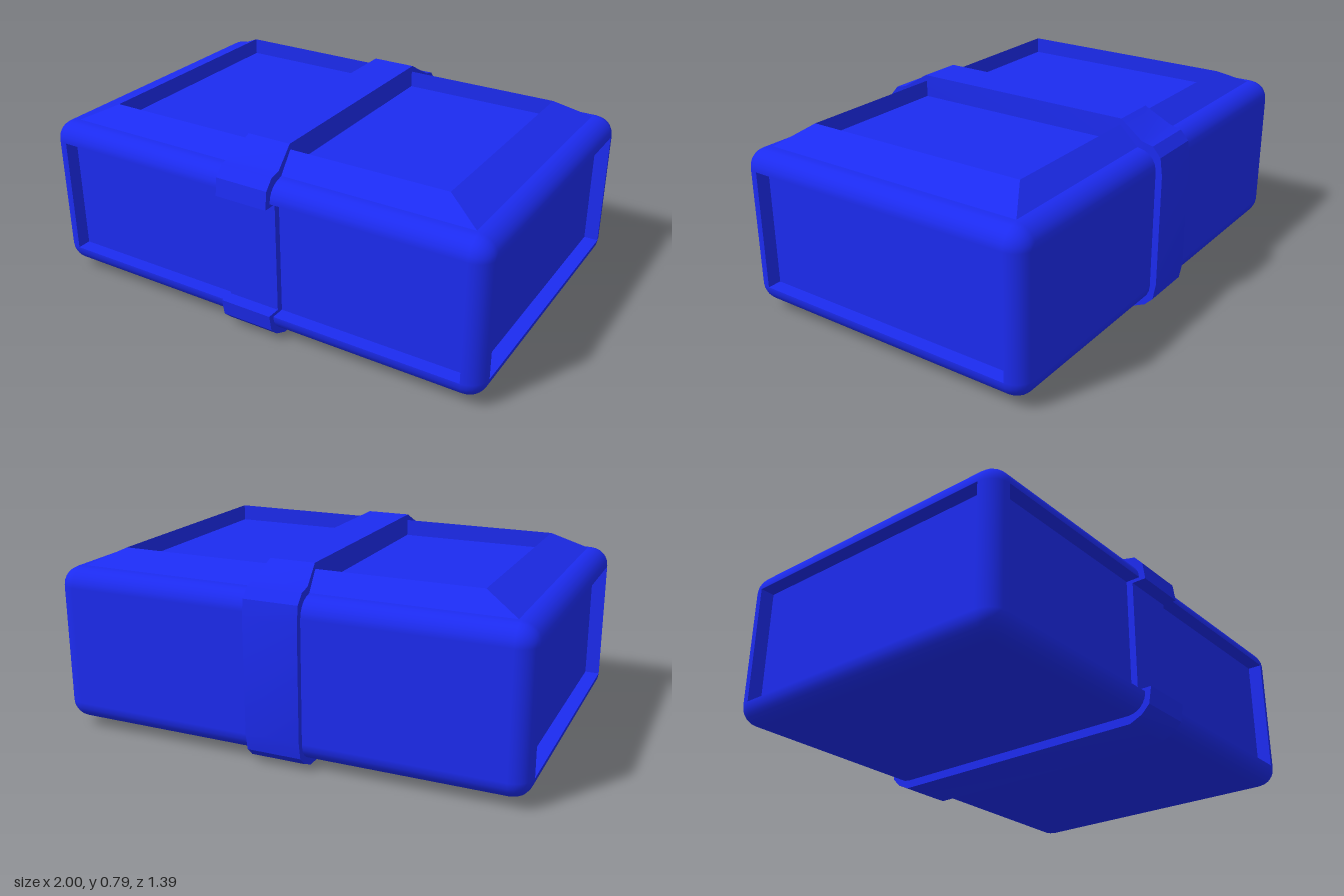
import * as THREE from 'three';
import { toCreasedNormals } from 'three/addons/utils/BufferGeometryUtils.js';
import { RoundedBoxGeometry } from 'three/addons/geometries/RoundedBoxGeometry.js';

const R = 0.08, W = 2, H = 0.66, D = 1.33, MID = 0.365, DEPTH = 0.06;

// Skin a run of equal-sized cross-sections, either closed into a loop or capped at both ends
function loft(rings, closed) {
  const n = rings[0].length, m = rings.length, index = [];
  for (let i = 0; i < (closed ? m : m - 1); i++) {
    const p = i * n, q = ((i + 1) % m) * n;
    for (let k = 0; k < n; k++) {
      const l = (k + 1) % n;
      index.push(p + k, p + l, q + l, p + k, q + l, q + k);
    }
  }
  if (!closed) {
    const e = (m - 1) * n;
    for (let k = 1; k < n - 1; k++) index.push(0, k + 1, k, e, e + k, e + k + 1);
  }
  const geo = new THREE.BufferGeometry();
  geo.setAttribute('position', new THREE.Float32BufferAttribute(rings.flat(2), 3));
  geo.setIndex(index);
  return toCreasedNormals(geo, 0.55);
}

// Rounded shell with the flat middles of the front and both ends left open
function shellGeometry() {
  const src = new RoundedBoxGeometry(W, H, D, 3, R);
  const p = src.attributes.position, nr = src.attributes.normal;
  const pos = [], nor = [];
  for (let i = 0; i < p.count; i += 3) {
    const ids = [i, i + 1, i + 2];
    const open = ids.every((j) => Math.abs(nr.getX(j)) > 0.999) || ids.every((j) => nr.getZ(j) > 0.999);
    if (open) continue;
    for (const j of ids) {
      pos.push(p.getX(j), p.getY(j), p.getZ(j));
      nor.push(nr.getX(j), nr.getY(j), nr.getZ(j));
    }
  }
  const geo = new THREE.BufferGeometry();
  geo.setAttribute('position', new THREE.Float32BufferAttribute(pos, 3));
  geo.setAttribute('normal', new THREE.Float32BufferAttribute(nor, 3));
  return geo;
}

// Inward-facing tray, open towards +z, with its rim at z = 0
function trayGeometry(w, h) {
  const geo = new THREE.BoxGeometry(w, h, DEPTH).translate(0, 0, -DEPTH / 2);
  geo.setIndex([...geo.index.array].filter((_, i) => i < 24 || i >= 30).reverse());
  geo.computeVertexNormals();
  return geo;
}

export function createModel() {
  const model = new THREE.Group();
  const material = new THREE.MeshStandardMaterial({ color: 0x1c2bf0 });
  const add = (name, geo, x = 0, y = 0, z = 0) => {
    const mesh = new THREE.Mesh(geo, material);
    mesh.name = name;
    mesh.position.set(x, y, z);
    model.add(mesh);
    return mesh;
  };

  // Body with sunken panels on the front and both ends
  add('body', shellGeometry(), 0, MID, 0);
  add('frontPanel', trayGeometry(W - 2 * R, H - 2 * R), 0, MID, D / 2);
  for (const [name, s] of [['leftPanel', 1], ['rightPanel', -1]]) {
    add(name, trayGeometry(D - 2 * R, H - 2 * R), s * W / 2, MID, 0).rotation.y = s * Math.PI / 2;
  }

  // Raised bevelled rim around the top panel
  const corners = [[1, 1], [1, -1], [-1, -1], [-1, 1]];
  add('topRim', loft(corners.map(([sx, sz]) => [
    [sx * 0.765, 0.765, sz * 0.49],
    [sx * 0.92, 0.69, sz * 0.585],
    [sx * 0.765, 0.69, sz * 0.49],
  ]), true));

  // Strap wrapped round the body, open at the front: z, y, half width
  const upper = [[0.693, 0.6, 0.115], [0.683, 0.674, 0.115], [0.648, 0.714, 0.115],
    [0.6, 0.725, 0.115], [0.495, 0.79, 0.095]];
  const lower = [[0.692, 0.13, 0.115], [0.68, 0.06, 0.115], [0.645, 0.025, 0.115], [0.59, 0, 0.115]];
  const mirror = (pts) => pts.map(([z, y, w]) => [-z, y, w]);
  const path = [...upper, ...mirror(upper).reverse(), ...mirror(lower), ...[...lower].reverse()];
  const clamp = THREE.MathUtils.clamp;
  add('strap', loft(path.map(([z, y, w]) => {
    const zi = clamp(z, -0.62, 0.62), yi = clamp(y, 0.08, 0.68);
    return [[-w, y, z], [w, y, z], [w, yi, zi], [-w, yi, zi]];
  }), false));

  // Strap section lying inside the front panel
  add('strapFront', new THREE.BoxGeometry(0.23, 0.51, 0.04), 0, MID, 0.613);

  return model;
}
